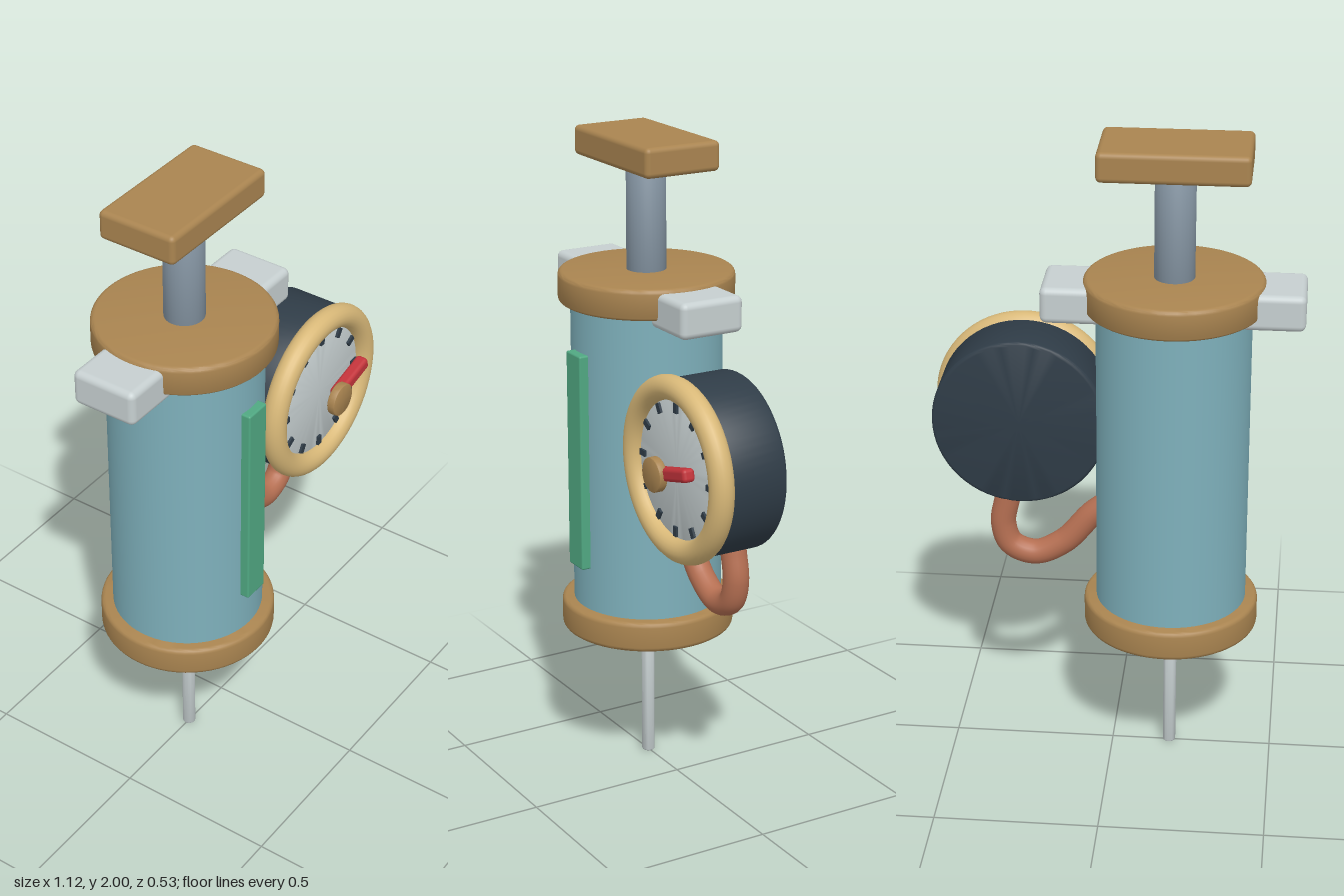
import * as THREE from 'three';
import { RoundedBoxGeometry } from 'three/addons/geometries/RoundedBoxGeometry.js';
import { toCreasedNormals } from 'three/addons/utils/BufferGeometryUtils.js';

const material = (name, color) => {
  const m = new THREE.MeshStandardMaterial({ color });
  m.name = name;
  return m;
};

// Solid disc or rod along y with softened rims
function roundedCylinder(radius, y0, y1, bevel, segments = 64) {
  const points = [new THREE.Vector2(0, y0)];
  for (let i = 0; i <= 4; i++) {
    const a = (i / 4) * Math.PI / 2;
    points.push(new THREE.Vector2(radius - bevel + bevel * Math.sin(a), y0 + bevel - bevel * Math.cos(a)));
  }
  for (let i = 0; i <= 4; i++) {
    const a = (i / 4) * Math.PI / 2;
    points.push(new THREE.Vector2(radius - bevel + bevel * Math.cos(a), y1 - bevel + bevel * Math.sin(a)));
  }
  points.push(new THREE.Vector2(0, y1));
  return toCreasedNormals(new THREE.LatheGeometry(points, segments), 0.6);
}

export function createModel() {
  const teal = material('teal barrel', 0x7eb0bb);
  const brass = material('dark brass', 0xa98450);
  const gold = material('pale brass', 0xd8b878);
  const navy = material('dark slate', 0x2f3c47);
  const silver = material('pale silver', 0xc6cfd0);
  const steel = material('blue steel', 0x8797a5);
  const copper = material('copper', 0xb56f52);
  const red = material('red', 0xc2333a);
  const green = material('green glass', 0x50a882);

  const model = new THREE.Group();
  const add = (parent, name, geometry, mat, x = 0, y = 0, z = 0) => {
    const mesh = new THREE.Mesh(geometry, mat);
    mesh.name = name;
    mesh.position.set(x, y, z);
    parent.add(mesh);
    return mesh;
  };

  // Syringe body, built around its own axis
  const syringe = new THREE.Group();
  syringe.name = 'syringe';
  syringe.position.x = -0.18;
  model.add(syringe);
  add(syringe, 'barrel', new THREE.CylinderGeometry(0.23, 0.23, 1.05, 64), teal, 0, 1.02);
  add(syringe, 'bottomCap', roundedCylinder(0.267, 0.45, 0.545, 0.015), brass);
  add(syringe, 'topCap', roundedCylinder(0.267, 1.495, 1.59, 0.015), brass);
  add(syringe, 'plungerRod', roundedCylinder(0.06, 1.57, 1.93, 0.008, 32), steel);
  add(syringe, 'thumbPlate', new RoundedBoxGeometry(0.44, 0.09, 0.25, 3, 0.016), brass, 0, 1.955);
  add(syringe, 'needle', roundedCylinder(0.02, 0, 0.47, 0.005, 24), silver);
  add(syringe, 'sightGlass', new RoundedBoxGeometry(0.085, 0.68, 0.05, 2, 0.006), green, 0, 1.02, 0.23);
  for (const side of [-1, 1]) {
    add(syringe, side < 0 ? 'rightFingerGrip' : 'leftFingerGrip',
      new RoundedBoxGeometry(0.19, 0.11, 0.208, 3, 0.02), silver, side * 0.291, 1.523);
  }

  // Pressure gauge
  const gauge = new THREE.Group();
  gauge.name = 'gauge';
  gauge.position.set(0.28, 1.115, 0);
  model.add(gauge);
  const disc = (name, radius, z0, z1, bevel, mat, segments) => {
    add(gauge, name, roundedCylinder(radius, z0, z1, bevel, segments), mat).rotation.x = Math.PI / 2;
  };
  disc('case', 0.264, -0.042, 0.145, 0.012, navy, 64);
  disc('dial', 0.235, 0.14, 0.168, 0.004, silver, 64);
  add(gauge, 'bezel', new THREE.TorusGeometry(0.242, 0.037, 20, 72), gold, 0, 0, 0.166);

  // Hour-like tick marks around the dial
  for (let i = 0; i < 12; i++) {
    const a = (i / 12) * Math.PI * 2;
    const tick = add(gauge, 'tick', new THREE.BoxGeometry(0.03, 0.018, 0.009), navy,
      Math.cos(a) * 0.187, Math.sin(a) * 0.187, 0.171);
    tick.rotation.z = a;
  }

  // Pointer and its hub
  const angle = 0.25;
  const pointer = add(gauge, 'pointer', new RoundedBoxGeometry(0.165, 0.04, 0.04, 3, 0.012), red,
    Math.cos(angle) * 0.085, Math.sin(angle) * 0.085, 0.222);
  pointer.rotation.z = angle;
  disc('hub', 0.052, 0.228, 0.254, 0.004, brass, 24);

  // Hose from the barrel to the underside of the gauge
  const path = new THREE.CatmullRomCurve3([
    [-0.02, 0.865], [0.06, 0.805], [0.15, 0.705], [0.24, 0.662],
    [0.315, 0.69], [0.338, 0.76], [0.325, 0.84], [0.305, 0.92],
  ].map(([x, y]) => new THREE.Vector3(x, y, 0)));
  add(model, 'hose', new THREE.TubeGeometry(path, 64, 0.039, 20), copper);

  return model;
}
